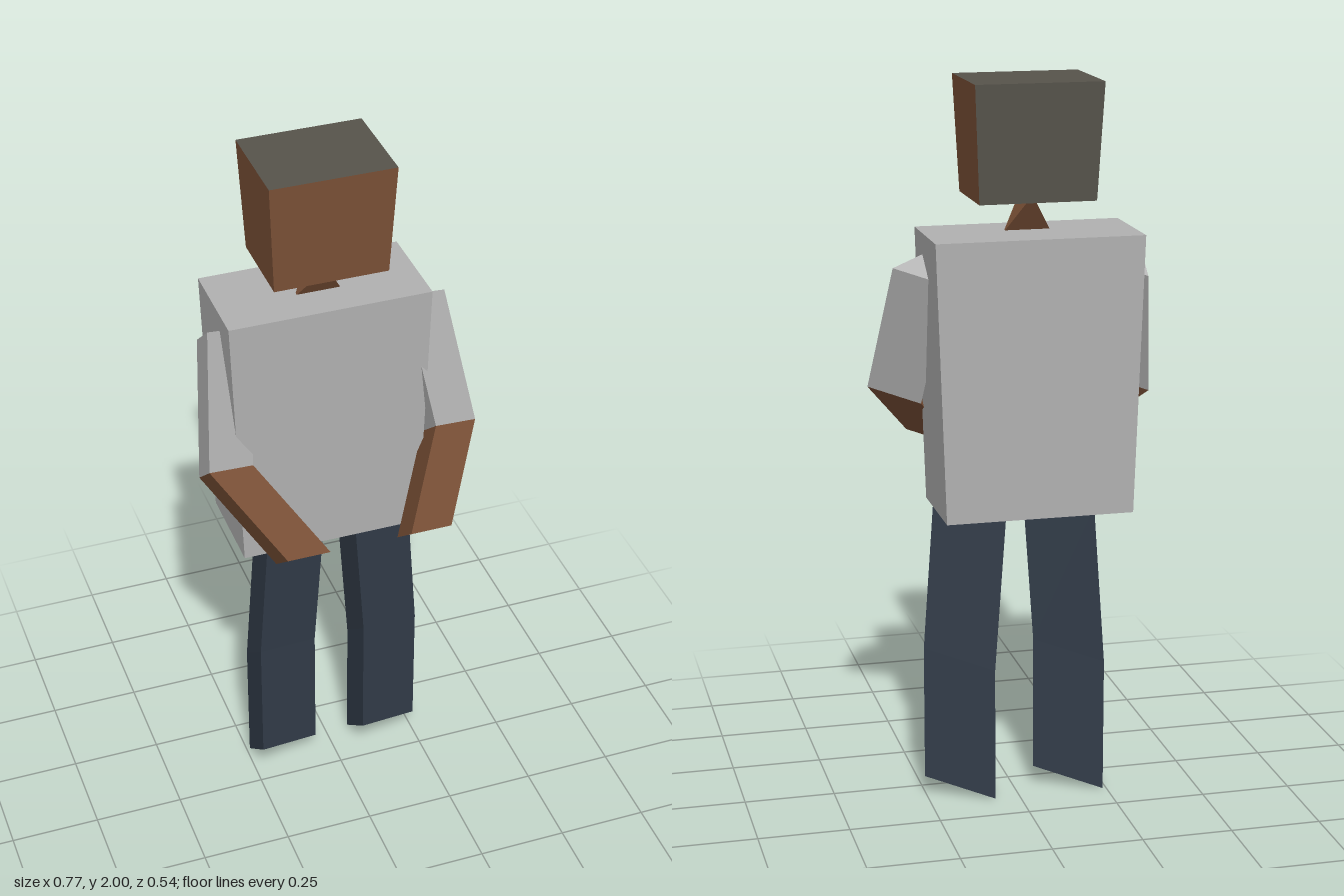
import * as THREE from 'three';
import { ConvexGeometry } from 'three/addons/geometries/ConvexGeometry.js';

function paint(name, color) {
  const m = new THREE.MeshStandardMaterial({ color });
  m.name = name;
  return m;
}

// Box whose lower face is scaled to taper it
function taperedBox(w, h, d, bottomX, bottomZ) {
  const geo = new THREE.BoxGeometry(w, h, d);
  const p = geo.attributes.position;
  for (let i = 0; i < p.count; i++) {
    if (p.getY(i) < 0) p.setXYZ(i, p.getX(i) * bottomX, p.getY(i), p.getZ(i) * bottomZ);
  }
  geo.computeVertexNormals();
  return geo;
}

// Three-sided limb: a slanted triangle carried through centres listed from low to high
function limb(width, rise, depth, centres) {
  const corners = [[0, rise, depth], [width, 0, 0], [0, -rise, -depth]];
  const rings = centres.map(c => corners.map(k => k.map((v, i) => v + c[i])));
  const pos = [];
  const tri = (...pts) => pts.forEach(q => pos.push(...q));
  for (let r = 0; r < rings.length - 1; r++) {
    const a = rings[r], b = rings[r + 1];
    for (let i = 0; i < 3; i++) {
      const j = (i + 1) % 3;
      tri(a[i], a[j], b[j]);
      tri(a[i], b[j], b[i]);
    }
  }
  const low = rings[0], high = rings[rings.length - 1];
  tri(low[0], low[2], low[1]);
  tri(high[0], high[1], high[2]);
  const geo = new THREE.BufferGeometry();
  geo.setAttribute('position', new THREE.Float32BufferAttribute(pos, 3));
  geo.computeVertexNormals();
  return geo;
}

export function createModel() {
  const group = new THREE.Group();
  const shirt = paint('shirt grey', 0xb0b0b0);
  const skin = paint('skin brown', 0x7b5137);
  const trousers = paint('trouser navy', 0x323c49);
  const hair = paint('hair dark grey', 0x56534b);

  const add = (name, geo, mat, x = 0, y = 0, z = 0) => {
    const mesh = new THREE.Mesh(geo, mat);
    mesh.name = name;
    mesh.position.set(x, y, z);
    group.add(mesh);
  };

  // Torso, tapering to the waist
  add('torso', taperedBox(0.56, 0.75, 0.268, 0.91, 1), shirt, -0.025, 1.225, -0.135);

  // Head with hair on the top and back faces
  add('head', taperedBox(0.342, 0.31, 0.272, 0.915, 0.865),
    [skin, skin, hair, skin, skin, hair], -0.024, 1.845, -0.119);

  // Neck: a wedge, wide across at the base and deep at the top
  add('neck', new ConvexGeometry([
    new THREE.Vector3(-0.065, 1.592, 0), new THREE.Vector3(0.065, 1.592, 0),
    new THREE.Vector3(0, 1.7, 0.063), new THREE.Vector3(0, 1.7, -0.063),
  ]), skin, -0.025, 0, -0.11);

  // Limbs share one slanted section; s is the side they lean away from
  for (const [side, s, legX, armX] of [['left', 1, 0.07, 0.25], ['right', -1, -0.24, -0.388]]) {
    add(side + 'Leg', limb(0.185, 0.0575, 0.069, [
      [legX, 0.0625, -0.072], [legX, 0.44, -0.072], [legX - s * 0.032, 0.89, -0.071],
    ]), trousers);

    const elbow = [armX, 1.168, 0.01];
    add(side + 'Forearm', limb(0.136, 0.043, 0.051, [
      [armX - s * 0.146, 0.988, 0.216], elbow,
    ]), skin);
    add(side + 'Sleeve', limb(0.136, 0.043, 0.051, [
      elbow, [armX - s * 0.047, 1.515, -0.125],
    ]), shirt);
  }

  return group;
}
